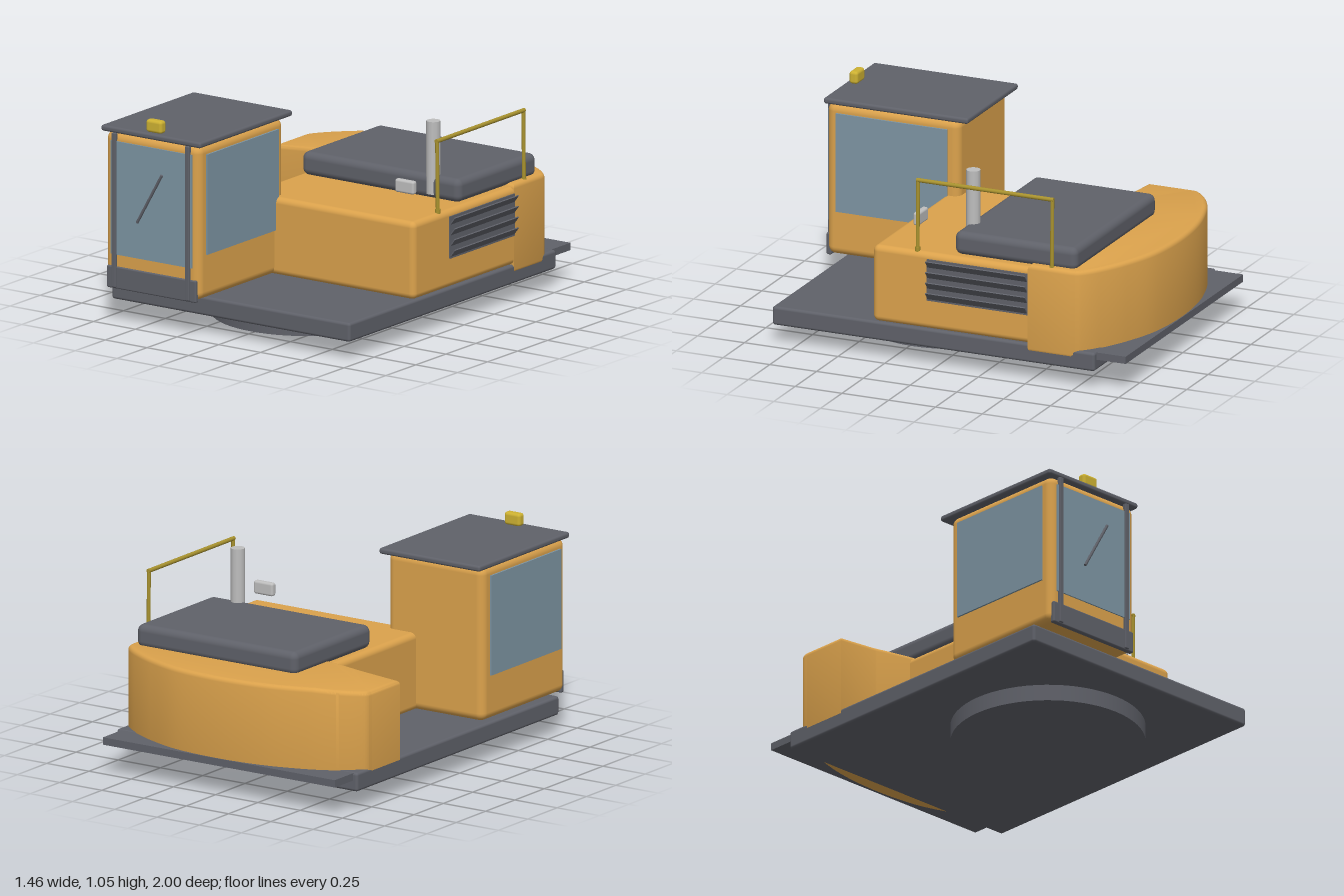
import * as THREE from 'three';
import { RoundedBoxGeometry } from 'three/addons/geometries/RoundedBoxGeometry.js';
import { toCreasedNormals } from 'three/addons/utils/BufferGeometryUtils.js';

const paint = (name, color) => {
  const m = new THREE.MeshStandardMaterial({ color });
  m.name = name;
  return m;
};

export function createModel() {
  const model = new THREE.Group();
  model.name = 'excavatorUpperBody';
  const orange = paint('orange paint', 0xdba24c);
  const dark = paint('dark grey', 0x5f6169);
  const glass = paint('glass', 0x7d95a3);
  const silver = paint('silver', 0xbebebe);
  const railGold = paint('rail gold', 0xa8922f);
  const yellow = paint('beacon yellow', 0xcdb132);

  const add = (name, geometry, material, parent = model) => {
    const mesh = new THREE.Mesh(geometry, material);
    mesh.name = name;
    parent.add(mesh);
    return mesh;
  };
  // Box given by its limits; r rounds the edges
  const box = (name, [x0, x1], [y0, y1], [z0, z1], material, r = 0, parent = model) => {
    const s = [x1 - x0, y1 - y0, z1 - z0];
    const g = r ? new RoundedBoxGeometry(...s, 4, r) : new THREE.BoxGeometry(...s);
    const mesh = add(name, g, material, parent);
    mesh.position.set((x0 + x1) / 2, (y0 + y1) / 2, (z0 + z1) / 2);
    return mesh;
  };
  // Round bar between two points
  const bar = (name, a, b, r, material, parent = model) => {
    const p = new THREE.Vector3(...a), q = new THREE.Vector3(...b);
    const dir = q.clone().sub(p);
    const mesh = add(name, new THREE.CylinderGeometry(r, r, dir.length(), 12), material, parent);
    mesh.position.copy(p).add(q).multiplyScalar(0.5);
    mesh.quaternion.setFromUnitVectors(new THREE.Vector3(0, 1, 0), dir.normalize());
    return mesh;
  };

  // Slewing ring and deck
  add('slewingRing', new THREE.CylinderGeometry(0.475, 0.475, 0.083, 64), dark)
    .position.set(-0.018, 0.0415, 0.23);
  box('deck', [-0.73, 0.695], [0.092, 0.187], [-0.845, 0.878], dark, 0.014);
  box('rearPlate', [-0.705, 0.667], [0.147, 0.184], [-1, -0.8], dark);

  // Engine housing
  box('engineHousing', [-0.31, 0.695], [0.187, 0.577], [-0.7, 0.343], orange, 0.03);
  box('engineHood', [-0.286, 0.662], [0.577, 0.695], [-0.732, -0.078], dark, 0.035);

  // Counterweight: plan outline with a bowed back, drawn as (x, -z)
  const plan = new THREE.Shape();
  plan.moveTo(-0.73, 0.48);
  plan.lineTo(-0.73, 0.72);
  plan.splineThru([
    [-0.715, 0.765], [-0.62, 0.842], [-0.47, 0.915], [-0.25, 0.975], [0, 0.995],
    [0.25, 0.973], [0.45, 0.908], [0.6, 0.83], [0.68, 0.765], [0.697, 0.72],
  ].map(([x, y]) => new THREE.Vector2(x, y)));
  plan.lineTo(0.697, 0.49);
  plan.lineTo(-0.26, 0.425);
  plan.quadraticCurveTo(-0.37, 0.445, -0.5, 0.48);
  plan.closePath();
  const bevel = 0.022;
  const weight = new THREE.ExtrudeGeometry(plan, {
    depth: 0.45 - 2 * bevel, bevelSize: bevel, bevelThickness: bevel,
    bevelOffset: -bevel, bevelSegments: 4, curveSegments: 40,
  });
  weight.rotateX(-Math.PI / 2).translate(0, 0.142 + bevel, 0);
  // The top falls slightly toward the open corner
  const p = weight.attributes.position;
  for (let i = 0; i < p.count; i++) {
    if (p.getY(i) > 0.4) {
      const t = Math.max(0, -0.5 - p.getX(i));
      p.setY(i, p.getY(i) - t * 0.08);
    }
  }
  add('counterweight', toCreasedNormals(weight, 0.6), orange);

  // Cab shell and roof
  const cab = new THREE.Group();
  cab.name = 'cab';
  model.add(cab);
  box('cabShell', [-0.705, -0.14], [0.187, 0.963], [0.26, 0.97], orange, 0.04, cab);
  box('cabRoof', [-0.722, -0.126], [0.96, 0.99], [0.208, 0.98], dark, 0.012, cab);

  // Cab glazing
  box('windscreen', [-0.665, -0.18], [0.35, 0.92], [0.968, 0.977], glass, 0, cab);
  for (const x of [-0.711, -0.134])
    box('sideWindow', [x - 0.0048, x + 0.0048], [0.413, 0.917], [0.32, 0.915], glass, 0, cab);

  // Front posts, lower panel and wiper
  for (const x of [-0.643, -0.203])
    box('frontPost', [x - 0.013, x + 0.013], [0.185, 0.962], [0.962, 0.985], dark, 0.005, cab);
  box('lowerFrontPanel', [-0.69, -0.155], [0.178, 0.29], [0.95, 0.977], dark, 0.008, cab);
  bar('wiper', [-0.495, 0.535, 0.992], [-0.347, 0.795, 0.992], 0.007, dark, cab);

  // Roof beacon
  box('beacon', [-0.47, -0.376], [0.988, 1.052], [0.912, 0.958], yellow, 0.015, cab);

  // Exhaust pipe and small silver unit
  bar('exhaustPipe', [0.49, 0.6, -0.105], [0.49, 0.965, -0.105], 0.035, silver);
  box('silverUnit', [0.461, 0.575], [0.663, 0.73], [0.147, 0.18], silver, 0.012);

  // Handrail
  const rail = new THREE.Group();
  rail.name = 'handrail';
  model.add(rail);
  for (const z of [0.11, -0.608]) {
    bar('railPost', [0.671, 0.57, z], [0.667, 0.935, z], 0.0095, railGold, rail);
    bar('railFoot', [0.671, 0.572, z], [0.671, 0.595, z], 0.013, railGold, rail);
  }
  bar('railTop', [0.667, 0.935, 0.117], [0.667, 0.935, -0.615], 0.0105, railGold, rail);

  // Louvred side vent
  const vent = new THREE.Group();
  vent.name = 'sideVent';
  model.add(vent);
  box('ventPanel', [0.692, 0.701], [0.335, 0.547], [-0.49, 0.048], dark, 0, vent);
  for (let i = 0; i < 4; i++) {
    const slat = box('ventSlat', [0.69, 0.734], [0.36, 0.366], [-0.487, 0.045], dark, 0, vent);
    slat.position.y = 0.363 + i * 0.054;
    slat.rotation.z = 0.92;
  }
  return model;
}
